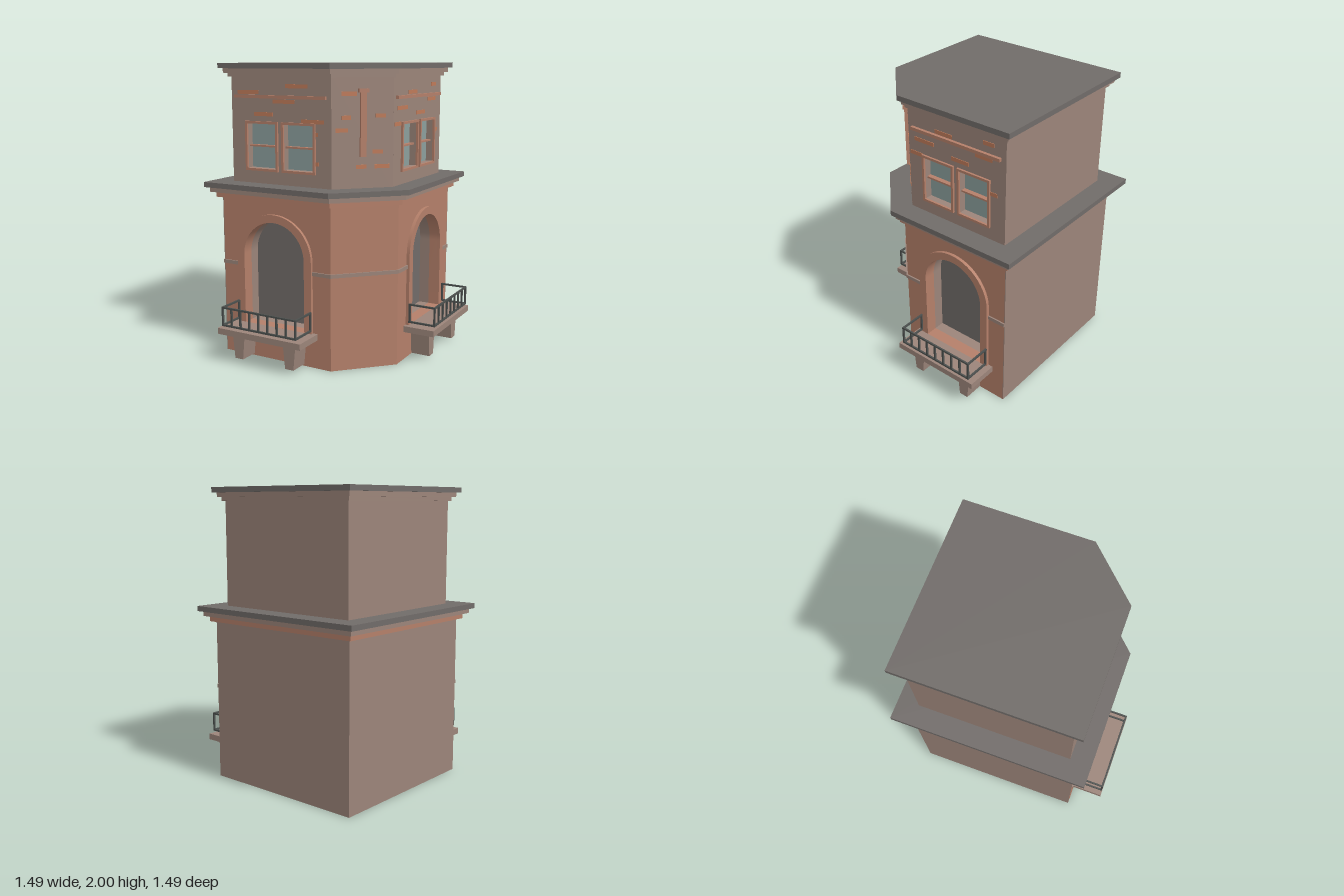
import * as THREE from 'three';
import { toCreasedNormals } from 'three/addons/utils/BufferGeometryUtils.js';

const mat = (name, color, extra = {}) => Object.assign(new THREE.MeshStandardMaterial({ color, ...extra }), { name });

export function createModel() {
  const brick = mat('brick', 0xb5806a);
  const stone = mat('stone', 0x9c857a);
  const slate = mat('slate', 0x716c69);
  const iron = mat('iron', 0x4c504e);
  const glass = mat('glass', 0x8c9f9d);
  const terracotta = mat('terracotta', 0xbf7b5a);

  const model = new THREE.Group();
  model.name = 'cornerBuilding';

  const add = (parent, name, geo, material) => {
    const mesh = new THREE.Mesh(geo, material);
    mesh.name = name;
    parent.add(mesh);
    return mesh;
  };

  // Upright prism from plan points [x, z]
  const prism = (parent, name, plan, y0, y1, material) => {
    const shape = new THREE.Shape(plan.map(([x, z]) => new THREE.Vector2(x, -z)));
    const geo = new THREE.ExtrudeGeometry(shape, { depth: y1 - y0, bevelEnabled: false });
    geo.rotateX(-Math.PI / 2).translate(0, y0, 0);
    return add(parent, name, geo, material);
  };

  // Plan of the building with its cut corner, grown outwards by d
  const dims = (d) => ({ lo: -0.655 - d, hi: 0.52 + d, cut: 0.195 + 0.414 * d });
  const footprint = (d) => {
    const { lo, hi, cut } = dims(d);
    return [[lo, lo], [lo, hi], [cut, hi], [hi, cut], [hi, lo]];
  };

  // Core with notches that the two street walls fill
  const core = (d, notch, skin) => {
    const { lo, hi, cut } = dims(d);
    const inn = hi - notch, out = hi - skin, e = lo + 0.005;
    return [[lo, lo], [lo, hi], [e, hi], [e, inn], [cut, inn], [cut, out],
      [out, cut], [inn, cut], [inn, e], [hi, e], [hi, lo]];
  };
  prism(model, 'lowerCore', core(0, 0.14, 0.06), 0, 1.12, stone);
  prism(model, 'lowerCorner', [[0.195, 0.52], [0.52, 0.195], [0.46, 0.195], [0.195, 0.46]], 0, 1.12, brick);
  prism(model, 'upperCore', core(-0.055, 0.055, 0), 1.18, 1.93, stone);

  // Cornices
  [
    ['lowerCorniceBase', 0.032, 1.1, 1.136, brick],
    ['lowerCorniceStep', 0.062, 1.136, 1.17, stone],
    ['lowerCorniceCap', 0.09, 1.17, 1.205, slate],
    ['upperCorniceBase', -0.037, 1.91, 1.935, stone],
    ['upperCorniceStep', -0.015, 1.935, 1.965, stone],
    ['roof', 0.01, 1.965, 2, slate],
  ].forEach(([name, d, y0, y1, m]) => prism(model, name, footprint(d), y0, y1, m));

  // String course around the cut corner
  {
    const a = dims(0.01), b = dims(-0.01);
    prism(model, 'cornerBand', [[a.cut, a.hi], [a.hi, a.cut], [b.hi, b.cut], [b.cut, b.hi]], 0.635, 0.66, stone);
  }

  const trace = (path, pts) => {
    pts.forEach(([x, y], i) => (i ? path.lineTo(x, y) : path.moveTo(x, y)));
    path.closePath();
    return path;
  };
  const rect = (path, x0, x1, y0, y1) => trace(path, [[x0, y0], [x1, y0], [x1, y1], [x0, y1]]);
  const archPath = (path, cx, r, y0, spring) => {
    path.moveTo(cx - r, y0);
    path.lineTo(cx + r, y0);
    path.lineTo(cx + r, spring);
    path.absarc(cx, spring, r, 0, Math.PI, false);
    path.lineTo(cx - r, y0);
    return path;
  };

  // One street wall; s = -1 mirrors it along its length
  const facade = (s, name, bricks) => {
    const g = new THREE.Group();
    g.name = name;
    model.add(g);
    const span = (x0, x1) => (s > 0 ? [x0, x1] : [-x1, -x0]);
    const box = (n, x0, x1, y0, y1, z0, z1, m) => {
      const geo = new THREE.BoxGeometry(x1 - x0, y1 - y0, z1 - z0);
      const mesh = add(g, n, geo, m);
      mesh.position.set(s * (x0 + x1) / 2, (y0 + y1) / 2, (z0 + z1) / 2);
    };
    const plate = (n, shape, z0, z1, m) => {
      const geo = new THREE.ExtrudeGeometry(shape, { depth: z1 - z0, bevelEnabled: false, curveSegments: 32 });
      add(g, n, toCreasedNormals(geo.translate(0, 0, z0), 0.5), m);
    };

    // Lower wall with arched recess
    const cx = -0.2325 * s;
    const wall = () => {
      const shape = rect(new THREE.Shape(), ...span(-0.65, 0.195), 0, 1.12);
      shape.holes.push(archPath(new THREE.Path(), cx, 0.2375, 0.24, 0.722));
      return shape;
    };
    plate('brickWall', wall(), 0.46, 0.52, brick);
    plate('recessLining', wall(), 0.38, 0.46, stone);
    plate('archPanel', archPath(new THREE.Shape(), cx, 0.2375, 0.24, 0.722), 0.38, 0.386, slate);
    const trim = archPath(new THREE.Shape(), cx, 0.2925, 0.24, 0.72);
    trim.holes.push(archPath(new THREE.Path(), cx, 0.2375, 0.2401, 0.722));
    plate('archTrim', trim, 0.52, 0.542, brick);
    box('bandOuter', -0.655, -0.525, 0.635, 0.66, 0.51, 0.53, stone);
    box('bandInner', 0.06, 0.199, 0.635, 0.66, 0.51, 0.53, stone);

    // Balcony slab on tapered brackets
    box('balconySlab', -0.56, 0.095, 0.198, 0.24, 0.52, 0.74, stone);
    for (const x of [-0.435, -0.03]) {
      const c = x * s;
      const bracket = trace(new THREE.Shape(), [[c - 0.032, 0.022], [c + 0.032, 0.022], [c + 0.05, 0.198], [c - 0.05, 0.198]]);
      plate('balconyBracket', bracket, 0.54, 0.675, stone);
    }

    // Railing
    const t = 0.012;
    for (const y of [0.257, 0.38]) {
      box('frontRail', -0.527, 0.062, y, y + t, 0.735 - t, 0.735, iron);
      for (const x of [-0.527, 0.05]) box('sideRail', x, x + t, y, y + t, 0.54, 0.735 - t, iron);
    }
    for (let i = 0; i < 9; i++) {
      const x = -0.527 + i * (0.577 / 8);
      box('baluster', x, x + t, 0.257, 0.385, 0.735 - t, 0.735, iron);
    }
    for (const x of [-0.527, 0.05]) box('wallPost', x, x + t, 0.257, 0.385, 0.542, 0.542 + t, iron);

    // Upper wall with two sash windows
    const upper = rect(new THREE.Shape(), ...span(-0.595, 0.172), 1.19, 1.92);
    for (const x0 of [-0.487, -0.2]) {
      const x1 = x0 + 0.257;
      const inner = span(x0 + 0.016, x1 - 0.016);
      upper.holes.push(rect(new THREE.Path(), ...inner, 1.306, 1.604));
      const frame = rect(new THREE.Shape(), ...span(x0, x1), 1.29, 1.62);
      frame.holes.push(rect(new THREE.Path(), ...inner, 1.306, 1.604));
      plate('windowFrame', frame, 0.465, 0.48, brick);
      box('windowGlass', x0 + 0.016, x1 - 0.016, 1.306, 1.604, 0.41, 0.417, glass);
      box('sashBar', x0 + 0.016, x1 - 0.016, 1.449, 1.461, 0.417, 0.45, brick);
    }
    plate('upperWall', upper, 0.41, 0.465, stone);
    box('upperMoulding', -0.565, 0.138, 1.772, 1.793, 0.465, 0.486, brick);

    // Exposed bricks
    for (const [x0, x1, y] of bricks) box('exposedBrick', x0, x1, y - 0.013, y + 0.013, 0.463, 0.469, terracotta);
    return g;
  };

  facade(1, 'frontFacade', [
    [-0.17, 0, 1.853], [-0.55, -0.38, 1.81], [-0.27, -0.1, 1.753], [-0.42, -0.27, 1.668],
    [-0.05, 0.12, 1.63], [0.057, 0.075, 1.55], [0.057, 0.08, 1.36],
  ]);
  facade(-1, 'sideFacade', [
    [-0.04, 0.12, 1.712], [-0.19, -0.05, 1.81], [-0.32, -0.18, 1.668], [-0.51, -0.43, 1.853],
    [-0.5, -0.37, 1.753], [-0.54, -0.487, 1.53], [0.06, 0.16, 1.61],
  ]).rotation.y = Math.PI / 2;

  // Pilaster strip and exposed bricks on the cut corner
  const corner = new THREE.Group();
  corner.name = 'cornerDetails';
  corner.position.set(0.3185, 0, 0.3185);
  corner.rotation.y = Math.PI / 4;
  model.add(corner);
  const cornerBox = (n, t, y, w, h, d, m) =>
    add(corner, n, new THREE.BoxGeometry(w, h, d), m).position.set(t, y, d / 2 - 0.002);
  cornerBox('pilaster', 0, 1.62, 0.04, 0.42, 0.024, brick);
  cornerBox('pilasterCap', 0, 1.83, 0.065, 0.026, 0.034, brick);
  for (const [t, y, w] of [[-0.09, 1.81, 0.1], [0.12, 1.67, 0.07], [-0.14, 1.58, 0.08],
    [0.1, 1.44, 0.07], [0.13, 1.345, 0.1], [-0.01, 1.345, 0.07], [-0.11, 1.66, 0.06]]) {
    cornerBox('exposedBrick', t, y, w, 0.026, 0.006, terracotta);
  }
  return model;
}
